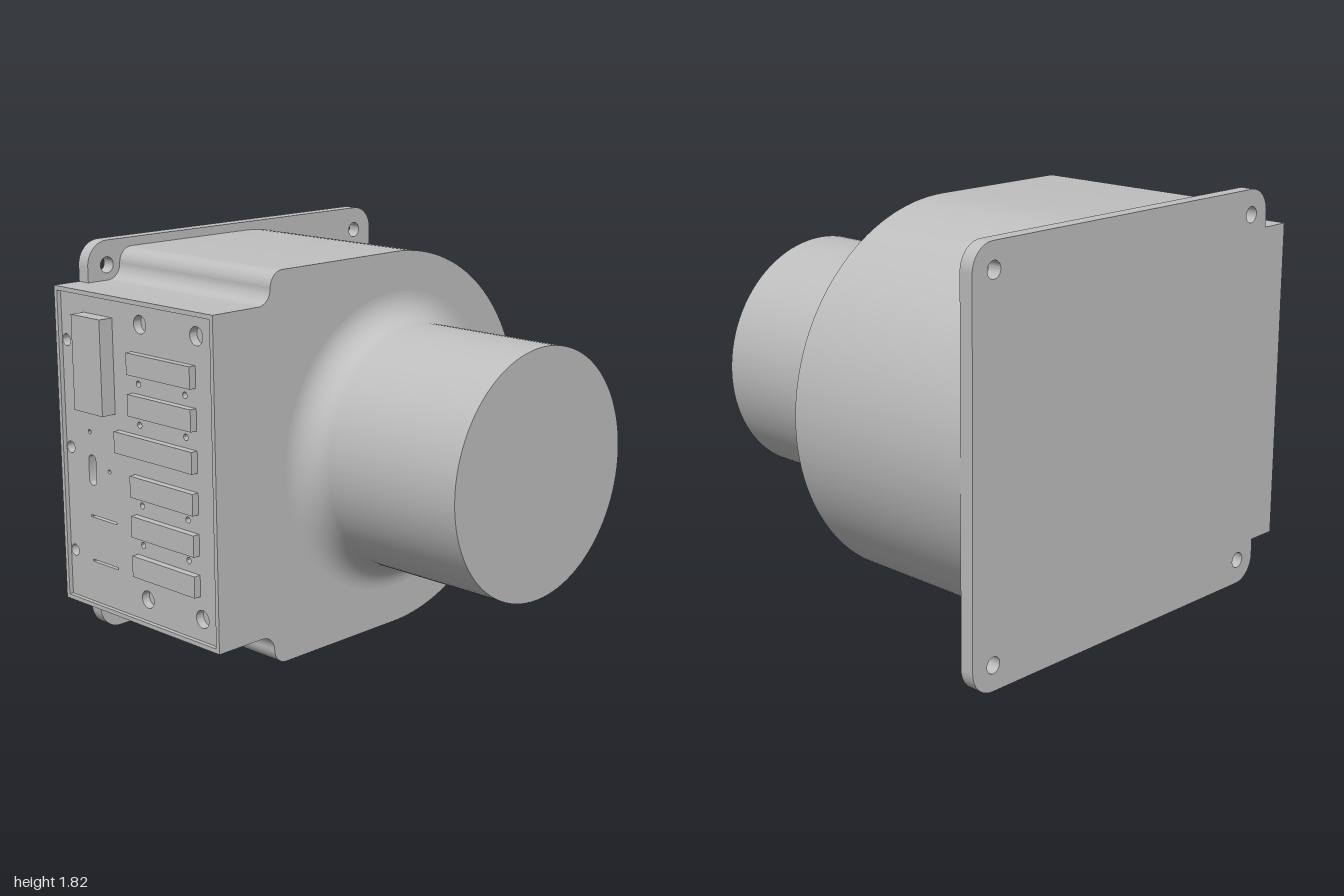
import * as THREE from 'three';
import { toCreasedNormals } from 'three/addons/utils/BufferGeometryUtils.js';

const CX = 0.135, CY = 0.91;      // optical axis
const BACK = -0.94, FRONT = 0.105; // housing depth range
const LOW = 0.185, HIGH = 1.635;   // side panel height range

export function createModel() {
  const model = new THREE.Group();
  const grey = new THREE.MeshStandardMaterial({ color: 0xbfbfbf });
  grey.name = 'grey metal';

  const add = (name, geometry, parent = model) => {
    const mesh = new THREE.Mesh(toCreasedNormals(geometry, 0.5), grey);
    mesh.name = name;
    parent.add(mesh);
    return mesh;
  };
  const extrude = (shape, depth) =>
    new THREE.ExtrudeGeometry(shape, { depth, bevelEnabled: false, curveSegments: 32 });
  // Extrudes a shape drawn in (z, y) from x = from outwards to x = to
  const extrudeLeft = (shape, from, to) =>
    extrude(shape, from - to).rotateY(-Math.PI / 2).translate(from, 0, 0);
  const circle = (x, y, r) => new THREE.Path().absarc(x, y, r, 0, Math.PI * 2, true);
  const rect = (path, x0, y0, x1, y1) =>
    path.moveTo(x0, y0).lineTo(x1, y0).lineTo(x1, y1).lineTo(x0, y1).closePath();

  // Mounting plate with rounded corners, screw holes and a tab to the side panel
  const P = Math.PI, R = 0.11, W = -0.81, E = 1, H = 1.815;
  const plate = new THREE.Shape();
  plate.moveTo(W + R, 0);
  plate.absarc(E - R, R, R, -P / 2, 0, false);
  plate.absarc(E - R, H - R, R, 0, P / 2, false);
  plate.absarc(W + R, H - R, R, P / 2, P, false);
  plate.lineTo(W, HIGH).lineTo(-0.89, HIGH).lineTo(-0.89, LOW).lineTo(W, LOW);
  plate.absarc(W + R, R, R, P, P * 1.5, false);
  for (const x of [-0.703, 0.885])
    for (const y of [0.112, 1.704]) plate.holes.push(circle(x, y, 0.036));
  add('mountingPlate', extrude(plate, 0.065).translate(0, 0, BACK));

  // Housing: round on one side, stepped with fillets around the plate screws
  const body = new THREE.Shape();
  const r = 0.07, top = 1.775, bottom = 0.045;
  body.moveTo(-0.56, bottom);
  body.absarc(CX, CY, 0.865, -P / 2, P / 2, false);
  body.absarc(-0.56, top - r, r, P / 2, P, false);
  body.absarc(-0.70, HIGH + r, r, 0, -P / 2, true);
  body.lineTo(-0.89, HIGH).lineTo(-0.89, LOW);
  body.absarc(-0.70, LOW - r, r, P / 2, 0, true);
  body.absarc(-0.56, bottom + r, r, P, P * 1.5, false);
  add('housing', extrude(body, FRONT + 0.9).translate(0, 0, -0.9));

  // Front barrel, flaring into the housing
  const profile = [];
  for (let i = 0; i <= 12; i++) {
    const a = (i / 12) * P / 2;
    profile.push(new THREE.Vector2(0.685 - 0.13 * Math.sin(a), FRONT + 0.13 * (1 - Math.cos(a))));
  }
  profile.push(new THREE.Vector2(0.555, 0.94), new THREE.Vector2(0, 0.94));
  add('frontBarrel', new THREE.LatheGeometry(profile, 96).rotateX(P / 2).translate(CX, CY, 0));

  // Side connector panel, set back inside a narrow rim
  const side = new THREE.Group();
  side.name = 'connectorPanel';
  model.add(side);
  const panel = rect(new THREE.Shape(), BACK, LOW, FRONT, HIGH);
  for (const z of [-0.38, -0.02])
    for (const y of [0.305, 1.53]) panel.holes.push(circle(z, y, 0.04));
  for (const y of [0.42, 0.905, 1.395]) panel.holes.push(circle(-0.89, y, 0.027));
  for (const y of [0.55, 0.73, 1.09, 1.27])
    for (const z of [-0.4, -0.1]) panel.holes.push(circle(z, y, 0.014));
  for (const y of [0.4, 0.61])
    panel.holes.push(rect(new THREE.Path(), -0.76, y - 0.005, -0.58, y + 0.005));
  for (const [z, y] of [[-0.75, 1.0], [-0.62, 0.84]]) panel.holes.push(circle(z, y, 0.01));
  const slot = new THREE.Path();
  slot.absarc(-0.74, 0.87, 0.025, 0, P, false);
  slot.absarc(-0.74, 0.78, 0.025, P, P * 2, false);
  slot.closePath();
  panel.holes.push(slot);
  add('panelSheet', extrudeLeft(panel, -0.89, -0.93), side);

  const rim = rect(new THREE.Shape(), BACK, LOW, FRONT, HIGH);
  rim.holes.push(rect(new THREE.Path(), BACK + 0.02, LOW + 0.02, FRONT - 0.02, HIGH - 0.02));
  add('panelRim', extrudeLeft(rim, -0.93, -0.95), side);

  // Raised connectors on the panel
  const block = (name, z0, z1, y0, y1, x) =>
    add(name, extrudeLeft(rect(new THREE.Shape(), z0, y0, z1, y1), -0.92, x), side);
  for (let i = 0; i < 6; i++) {
    const y = 0.453 + i * 0.181;
    block('connectorBar', i === 3 ? -0.54 : -0.44, -0.03, y - 0.048, y + 0.048, -0.963);
  }
  block('powerBlock', -0.76, -0.565, 1.11, 1.535, -1);

  return model;
}
